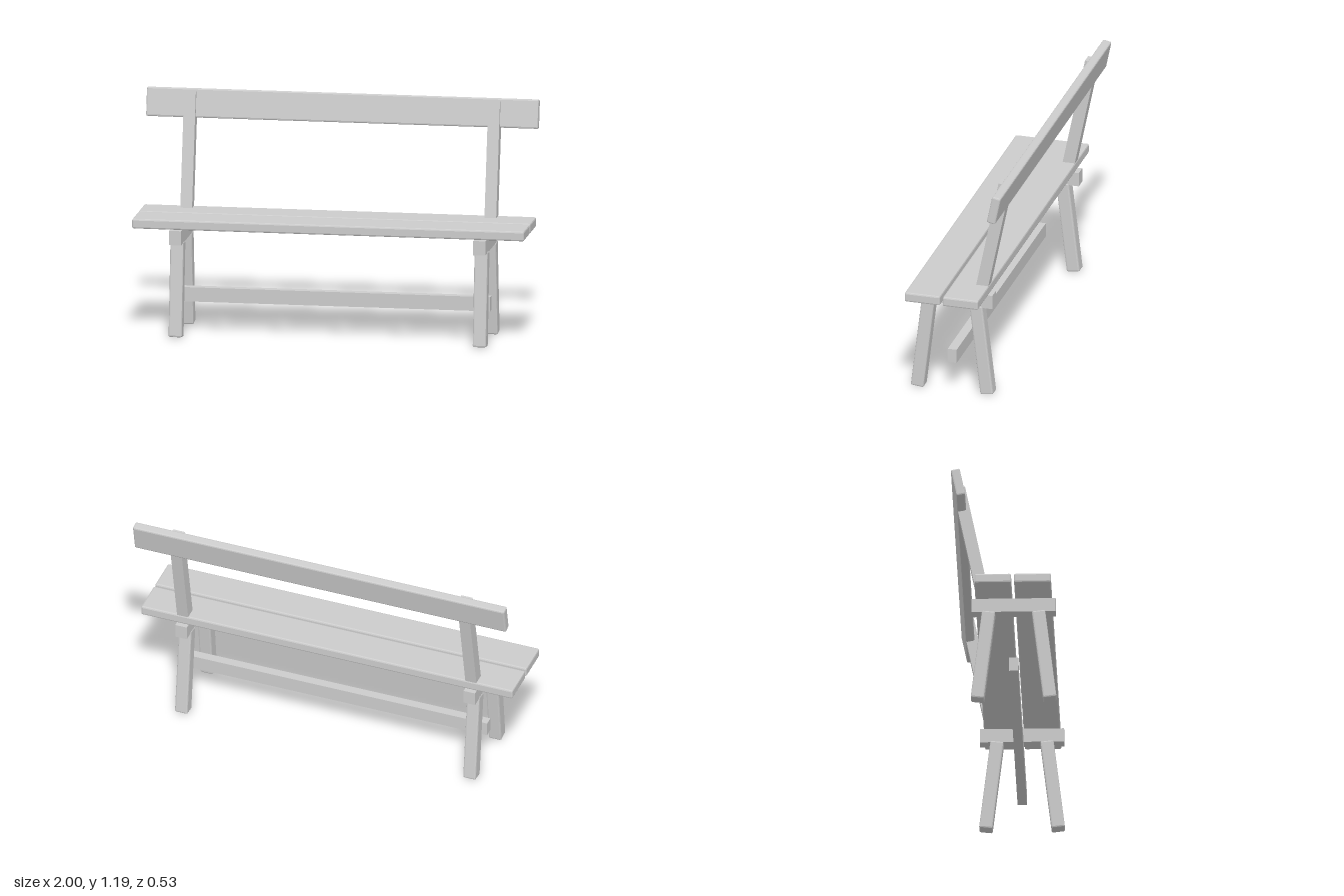
import * as THREE from 'three';
import { RoundedBoxGeometry } from 'three/addons/geometries/RoundedBoxGeometry.js';

export function createModel() {
  const bench = new THREE.Group();
  bench.name = 'bench';
  const wood = new THREE.MeshStandardMaterial({ color: 0xcccccc, flatShading: true });

  // A timber of given size and centre, leaning about x; edge > 0 eases its edges
  function timber(name, [w, h, d], [x, y, z], lean = 0, edge = 0) {
    const geometry = edge
      ? new RoundedBoxGeometry(w, h, d, 1, edge)
      : new THREE.BoxGeometry(w, h, d);
    const mesh = new THREE.Mesh(geometry, wood);
    mesh.name = name;
    mesh.position.set(x, y, z);
    mesh.rotation.x = lean;
    bench.add(mesh);
  }

  const midZ = 0.0475; // centre line of the seat and trestles
  const legLean = THREE.MathUtils.degToRad(6.8);
  const backLean = THREE.MathUtils.degToRad(-11.5);

  // Two seat planks with a narrow gap
  for (const s of [1, -1]) {
    timber(s > 0 ? 'frontSeatPlank' : 'rearSeatPlank',
      [2, 0.05, 0.185], [0, 0.58, midZ + s * 0.1], 0, 0.008);
  }

  // Trestles and back posts, mirrored left and right
  for (const side of [1, -1]) {
    const prefix = side > 0 ? 'left' : 'right';
    const x = side * 0.776;
    timber(prefix + 'Bearer', [0.062, 0.073, 0.425], [x, 0.5175, midZ]);

    // Splayed legs
    for (const s of [1, -1]) {
      timber(prefix + (s > 0 ? 'FrontLeg' : 'RearLeg'),
        [0.068, 0.485, 0.068], [x, 0.246, midZ + s * 0.154], -s * legLean, 0.008);
    }

    // Raked post, running from inside the seat up to the backrest
    timber(prefix + 'BackPost', [0.06, 0.625, 0.062], [x, 0.868, -0.165], backLean);
  }

  // Stretcher between the trestles
  timber('stretcher', [1.6, 0.073, 0.047], [0, 0.1925, midZ]);

  // Backrest plank let into the posts
  timber('backrestPlank', [2, 0.148, 0.046], [0, 1.116, -0.227], backLean, 0.008);

  return bench;
}
